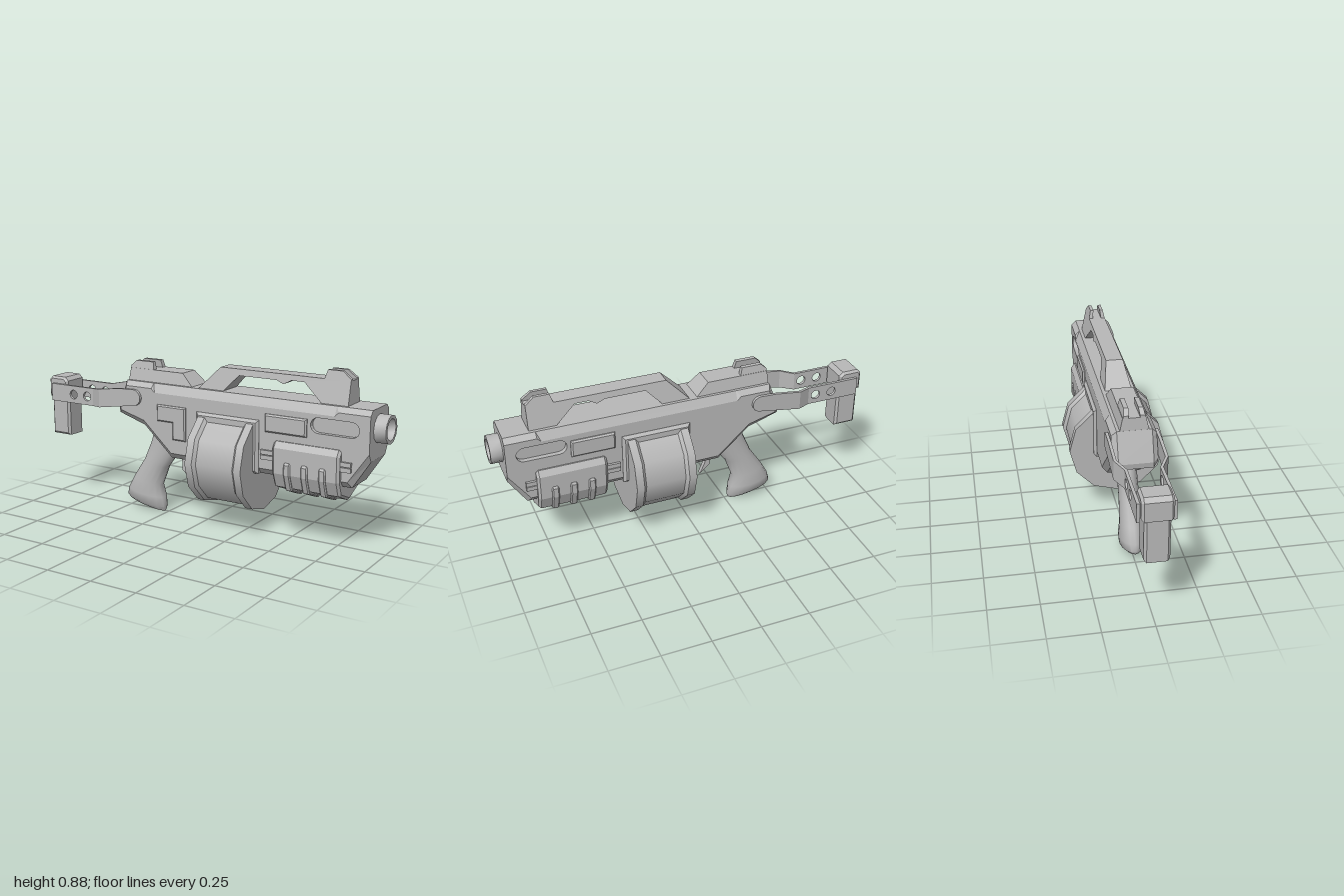
import * as THREE from 'three';
import { toCreasedNormals } from 'three/addons/utils/BufferGeometryUtils.js';

const grey = new THREE.MeshStandardMaterial({ color: 0xb8b8b8 });
const V = (p) => new THREE.Vector2(p[0], p[1]);

export function createModel() {
  const model = new THREE.Group();
  const add = (name, geometry, x = 0, y = 0, z = 0) => {
    const mesh = new THREE.Mesh(geometry, grey);
    mesh.name = name;
    mesh.position.set(x, y, z);
    model.add(mesh);
    return mesh;
  };
  const box = (name, x0, x1, y0, y1, z0, z1) =>
    add(name, new THREE.BoxGeometry(x1 - x0, y1 - y0, z1 - z0), (x0 + x1) / 2, (y0 + y1) / 2, (z0 + z1) / 2);
  // Side outline extruded from z0 to z1, with an optional small chamfer
  const slab = (pts, z0, z1, bevel = 0, holes = []) => {
    const shape = new THREE.Shape(pts.map(V));
    shape.holes = holes;
    const g = new THREE.ExtrudeGeometry(shape, {
      depth: z1 - z0 - 2 * bevel, bevelEnabled: bevel > 0, bevelThickness: bevel,
      bevelSize: bevel, bevelOffset: -bevel, bevelSegments: 1, curveSegments: 8,
    });
    return g.translate(0, 0, z0 + bevel);
  };
  const flat = (tris) => {
    const g = new THREE.BufferGeometry();
    g.setAttribute('position', new THREE.Float32BufferAttribute(tris.flat(), 3));
    g.computeVertexNormals();
    return g;
  };
  const quad = (out, a, b, c, d) => out.push(a, b, c, a, c, d);

  // Receiver: paired outlines make the chamfered edges; each side has a sunken slot
  const outer = [[-0.17, 0.335], [0.85, 0.335], [0.94, 0.475], [0.94, 0.72], [0.78, 0.72], [0.76, 0.72],
    [-0.26, 0.72], [-0.28, 0.72], [-0.45, 0.72], [-0.465, 0.68], [-0.505, 0.57], [-0.5, 0.54], [-0.34, 0.49]];
  const inner = [[-0.16, 0.365], [0.835, 0.365], [0.94, 0.515], [0.94, 0.695], [0.78, 0.695], [0.76, 0.675],
    [-0.26, 0.675], [-0.28, 0.695], [-0.44, 0.695], [-0.445, 0.67], [-0.48, 0.58], [-0.475, 0.56], [-0.33, 0.52]];
  const slot = [];
  for (let i = 0; i < 16; i++) {
    const a = (i < 8 ? i / 7 : (i - 8) / 7 + 1) * Math.PI - Math.PI / 2;
    slot.push([(i < 8 ? 0.85 : 0.675) + 0.038 * Math.cos(a), 0.62 + 0.038 * Math.sin(a)]);
  }
  const tris = [];
  const n = outer.length;
  for (let i = 0; i < n; i++) {
    const j = (i + 1) % n;
    const at = (p, z) => [p[0], p[1], z];
    quad(tris, at(outer[i], 0.085), at(outer[i], -0.085), at(outer[j], -0.085), at(outer[j], 0.085));
    quad(tris, at(inner[i], 0.11), at(outer[i], 0.085), at(outer[j], 0.085), at(inner[j], 0.11));
    quad(tris, at(outer[i], -0.085), at(inner[i], -0.11), at(inner[j], -0.11), at(outer[j], -0.085));
  }
  const all = [...inner, ...slot];
  const faces = THREE.ShapeUtils.triangulateShape(inner.map(V), [slot.map(V)]);
  const floor = THREE.ShapeUtils.triangulateShape(slot.map(V), []);
  for (const s of [1, -1]) {
    const tri = (list, f, z) => {
      const [a, b, c] = s > 0 ? f : [f[0], f[2], f[1]];
      for (const k of [a, b, c]) tris.push([list[k][0], list[k][1], s * z]);
    };
    faces.forEach((f) => tri(all, f, 0.11));
    floor.forEach((f) => tri(slot, f, 0.085));
    slot.forEach((p, i) => {
      const q = slot[(i + 1) % slot.length];
      const c = [[...p, s * 0.11], [...q, s * 0.11], [...q, s * 0.085], [...p, s * 0.085]];
      quad(tris, ...(s > 0 ? c : c.reverse()));
    });
  }
  add('receiver', flat(tris));

  // Barrel muzzle with a rounded bore
  const muzzle = new THREE.LatheGeometry(
    [[0.071, 0], [0.071, 0.06], [0.053, 0.06], [0.05, 0.035], [0.035, 0.015], [0, 0.005]].map(V), 12);
  add('muzzle', toCreasedNormals(muzzle.rotateZ(-Math.PI / 2), 0.9), 0.94, 0.62, 0);

  // Drum magazine and its housing
  const drum = (name, x0, x1, r0, r1 = r0) => {
    const g = new THREE.CylinderGeometry(r0, r1, x1 - x0, 12).rotateZ(Math.PI / 2);
    add(name, g, (x0 + x1) / 2, 0.368, 0);
  };
  drum('drum', 0.03, 0.32, 0.235);
  drum('drumRimRear', 0.015, 0.055, 0.251);
  drum('drumRimRearSlope', 0.055, 0.07, 0.251, 0.235);
  drum('drumRimFront', 0.295, 0.335, 0.251);
  drum('drumRimFrontSlope', 0.28, 0.295, 0.235, 0.251);
  add('drumHousing', slab([[0, 0.335], [0.36, 0.335], [0.36, 0.607], [0, 0.607]], -0.125, 0.125, 0.014));

  // Pump foregrip with ridges, swept along x
  const gripProfile = (w, low, top) => [[0, low], [w * 0.79, low + 0.045], [w, 0.36], [w, top - 0.03], [w * 0.85, top],
    [-w * 0.85, top], [-w, top - 0.03], [-w, 0.36], [-w * 0.79, low + 0.045]];
  const across = (pts, x0, x1, bevel) => slab(pts, -x1, -x0, bevel).rotateY(-Math.PI / 2);
  add('pumpGrip', across(gripProfile(0.137, 0.243, 0.518), 0.445, 0.802, 0.012));
  for (const x of [0.53, 0.623, 0.717]) {
    add('pumpRidge', across(gripProfile(0.145, 0.231, 0.44), x - 0.018, x + 0.018, 0.006));
  }

  // Side rails and raised plates
  for (const s of [1, -1]) {
    for (const y of [0.427, 0.453]) box('pumpRail', 0.375, 0.855, y - 0.011, y + 0.011, s * 0.114 - 0.009, s * 0.114 + 0.009);
    box('pumpRailBacking', 0.385, 0.845, 0.42, 0.46, s * 0.108 - 0.007, s * 0.108 + 0.007);
    const plate = [[0.395, 0.555], [0.62, 0.555], [0.62, 0.645], [0.395, 0.645]];
    add('sidePlate', slab(plate, s * 0.11 - 0.013, s * 0.11 + 0.013, 0.008));
  }
  add('anglePlate', slab([[-0.145, 0.44], [-0.065, 0.44], [-0.065, 0.617], [-0.24, 0.617], [-0.24, 0.53], [-0.145, 0.53]],
    0.1, 0.122, 0.007));

  // Carry handle and sights, narrowing toward the top
  const tapered = (name, pts, z0, z1) => {
    const g = slab(pts, z0, z1);
    const p = g.attributes.position;
    for (let i = 0; i < p.count; i++) p.setZ(i, p.getZ(i) * (1 - (p.getY(i) - 0.72) * 3.15));
    g.computeVertexNormals();
    add(name, g);
  };
  tapered('carryHandle', [[-0.015, 0.72], [0.13, 0.72], [0.21, 0.803], [0.42, 0.803], [0.46, 0.787], [0.5, 0.808],
    [0.57, 0.808], [0.67, 0.72], [0.808, 0.72], [0.808, 0.835], [0.1, 0.835]], -0.068, 0.068);
  tapered('rearSightBase', [[-0.45, 0.715], [-0.05, 0.715], [-0.12, 0.783], [-0.445, 0.783]], -0.07, 0.07);
  for (const s of [1, -1]) {
    const [z0, z1] = s > 0 ? [0.035, 0.068] : [-0.068, -0.035];
    tapered('frontSightProng', [[0.67, 0.83], [0.808, 0.83], [0.808, 0.842], [0.763, 0.878], [0.685, 0.878]], z0, z1);
    tapered('rearSightProng', [[-0.445, 0.78], [-0.3, 0.78], [-0.31, 0.822], [-0.415, 0.822], [-0.445, 0.795]], z0, z1);
  }

  // Pistol grip: oval sections between rear and front edge points, with a half width
  const sections = [[-0.32, 0.5, -0.14, 0.43, 0.05], [-0.35, 0.39, -0.18, 0.345, 0.05], [-0.395, 0.285, -0.25, 0.25, 0.052],
    [-0.465, 0.18, -0.29, 0.145, 0.058], [-0.505, 0.11, -0.272, 0.08, 0.065], [-0.515, 0.07, -0.265, 0.025, 0.06],
    [-0.505, 0.053, -0.272, 0.002, 0.04]];
  const ring = 16, pos = [], index = [];
  sections.forEach(([x0, y0, x1, y1, w], k) => {
    for (let i = 0; i < ring; i++) {
      const a = (i / ring) * Math.PI * 2, c = (1 + Math.cos(a)) / 2;
      pos.push(x0 + (x1 - x0) * c, y0 + (y1 - y0) * c, w * Math.sin(a));
      if (k === 0) continue;
      const j = (i + 1) % ring, u = (k - 1) * ring, d = k * ring;
      index.push(u + i, d + j, d + i, u + i, u + j, d + j);
    }
  });
  // The ring runs clockwise from above, so reverse the walls and close the base
  for (let i = 0; i < index.length; i += 3) [index[i + 1], index[i + 2]] = [index[i + 2], index[i + 1]];
  const base = (sections.length - 1) * ring;
  for (let i = 1; i < ring - 1; i++) index.push(base, base + i, base + i + 1);
  const grip = new THREE.BufferGeometry();
  grip.setAttribute('position', new THREE.Float32BufferAttribute(pos, 3));
  grip.setIndex(index);
  // Wind walls and base outward
  const gp = grip.attributes.position, tmp = [0, 1, 2].map(() => new THREE.Vector3());
  for (let i = 0; i < index.length; i += 3) {
    tmp.forEach((t, k) => t.fromBufferAttribute(gp, index[i + k]));
    const mid = tmp[0].clone().add(tmp[1]).add(tmp[2]).divideScalar(3);
    const s = sections[Math.min(Math.floor(index[i] / ring), sections.length - 1)];
    const core = new THREE.Vector3((s[0] + s[2]) / 2, (s[1] + s[3]) / 2 + (i >= index.length - (ring - 2) * 3 ? 0.1 : 0), 0);
    const nrm = tmp[1].clone().sub(tmp[0]).cross(tmp[2].clone().sub(tmp[0]));
    if (nrm.dot(mid.sub(core)) < 0) [index[i + 1], index[i + 2]] = [index[i + 2], index[i + 1]];
  }
  grip.setIndex(index);
  add('pistolGrip', toCreasedNormals(grip, 0.9));
  add('trigger', slab([[-0.155, 0.345], [-0.155, 0.255], [-0.1, 0.205], [-0.13, 0.275], [-0.12, 0.345]], -0.012, 0.012));

  // Folding stock: butt pad and two cranked arms
  add('buttPad', slab([[-0.995, 0.355], [-0.875, 0.355], [-0.875, 0.575], [-0.875, 0.64], [-0.995, 0.64]], -0.06, 0.06, 0.012));
  add('buttCap', slab([[-1, 0.57], [-0.873, 0.57], [-0.873, 0.665], [-0.893, 0.685], [-0.98, 0.685], [-1, 0.665]], -0.074, 0.074, 0.012));
  const holes = [-0.815, -0.722].map((x) => new THREE.Path().absarc(x, 0.6, 0.025, 0, Math.PI * 2, true));
  const tip = [];
  for (let i = 0; i <= 8; i++) {
    const a = -Math.PI / 2 + (i / 8) * Math.PI;
    tip.push([-0.384 + 0.043 * Math.cos(a), 0.638 + 0.043 * Math.sin(a)]);
  }
  const armParts = [
    slab([[-0.968, 0.552], [-0.68, 0.552], [-0.68, 0.648], [-0.968, 0.648]], 0.075, 0.09, 0, holes),
    slab([[-0.68, 0.552], [-0.61, 0.56], [-0.61, 0.66], [-0.68, 0.648]], 0.075, 0.09),
    slab([[-0.61, 0.56], ...tip, [-0.47, 0.678], [-0.61, 0.66]], 0.075, 0.09),
  ];
  for (const g of armParts) {
    const p = g.attributes.position;
    for (let i = 0; i < p.count; i++) {
      p.setZ(i, p.getZ(i) + 0.038 * THREE.MathUtils.clamp((p.getX(i) + 0.68) / 0.07, 0, 1));
    }
    g.computeVertexNormals();
    add('stockArmLeft', g);
    add('stockArmRight', g.clone().rotateX(Math.PI).translate(0, 0, 0)).scale.y = -1;
  }
  // Pivot pins joining the arms to the receiver
  add('stockPivot', new THREE.CylinderGeometry(0.03, 0.03, 0.24, 16).rotateX(Math.PI / 2), -0.384, 0.638, 0);
  return model;
}
